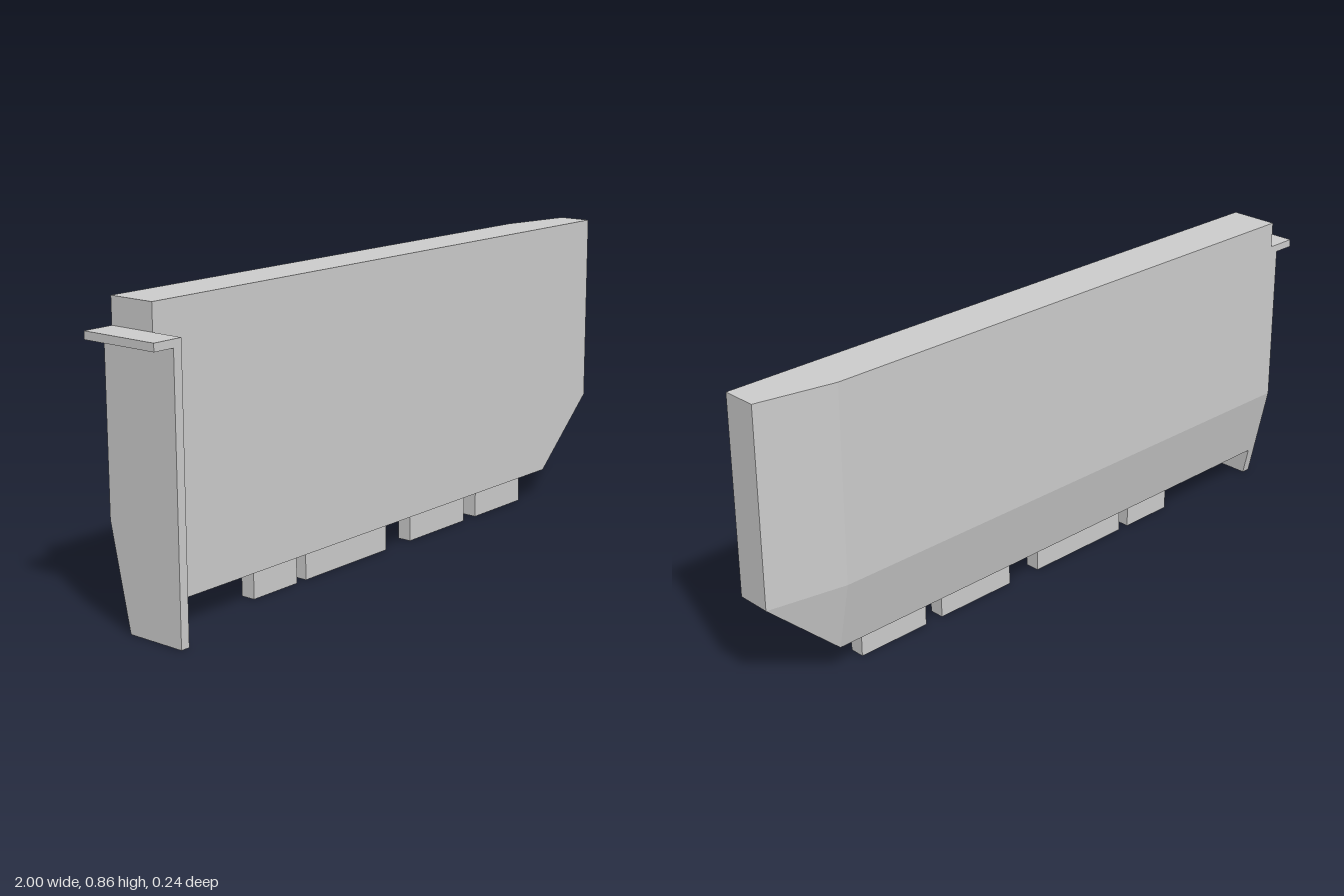
import * as THREE from 'three';
import { ConvexGeometry } from 'three/addons/geometries/ConvexGeometry.js';

const grey = new THREE.MeshStandardMaterial({ color: 0xcccccc, flatShading: true });

// Main levels shared by the parts
const LEFT = -0.909, TOP = 0.857, BOTTOM = 0.084, BEND = 0.29;
const FRONT = 0.023, EDGE = -0.078, BACK = -0.121;

export function createModel() {
  const group = new THREE.Group();
  const add = (name, geometry) => {
    const mesh = new THREE.Mesh(geometry, grey);
    mesh.name = name;
    group.add(mesh);
    return mesh;
  };
  const box = (name, x0, x1, y0, y1, z0, z1) =>
    add(name, new THREE.BoxGeometry(x1 - x0, y1 - y0, z1 - z0))
      .position.set((x0 + x1) / 2, (y0 + y1) / 2, (z0 + z1) / 2);

  // Card body: cut lower corner, back face bevelled towards the end and the bottom
  const cut = 0.772;
  const outline = [[LEFT, BOTTOM], [cut, BOTTOM], [1, BEND], [1, TOP]];
  const backFace = [[LEFT, BEND], [cut, BEND], [cut, TOP], [LEFT, TOP]];
  const at = (points, z) => points.map(([x, y]) => new THREE.Vector3(x, y, z));
  add('cardBody', new ConvexGeometry([
    ...at([...outline, [LEFT, TOP]], FRONT),
    ...at(outline, EDGE),
    ...at(backFace, BACK),
  ]));

  // Mounting bracket: thin plate with a slanted lower back edge, and a top lip
  const plate = new THREE.Shape([[0.121, 0], [0.121, 0.76], [BACK, 0.76], [BACK, BEND], [-0.059, 0]]
    .map(([z, y]) => new THREE.Vector2(-z, y)));
  const plateGeometry = new THREE.ExtrudeGeometry(plate, { depth: 0.027, bevelEnabled: false });
  plateGeometry.rotateY(Math.PI / 2);
  add('bracketPlate', plateGeometry).position.x = -0.936;
  box('bracketLip', -1, LEFT, 0.76, 0.782, BACK, 0.121);

  // Edge connector tabs
  [[-0.545, -0.374], [-0.337, 0.011], [0.123, 0.386], [0.444, 0.674]].forEach(([x0, x1], i) =>
    box(`connectorTab${i + 1}`, x0, x1, 0, BOTTOM, -0.045, -0.001));

  return group;
}
